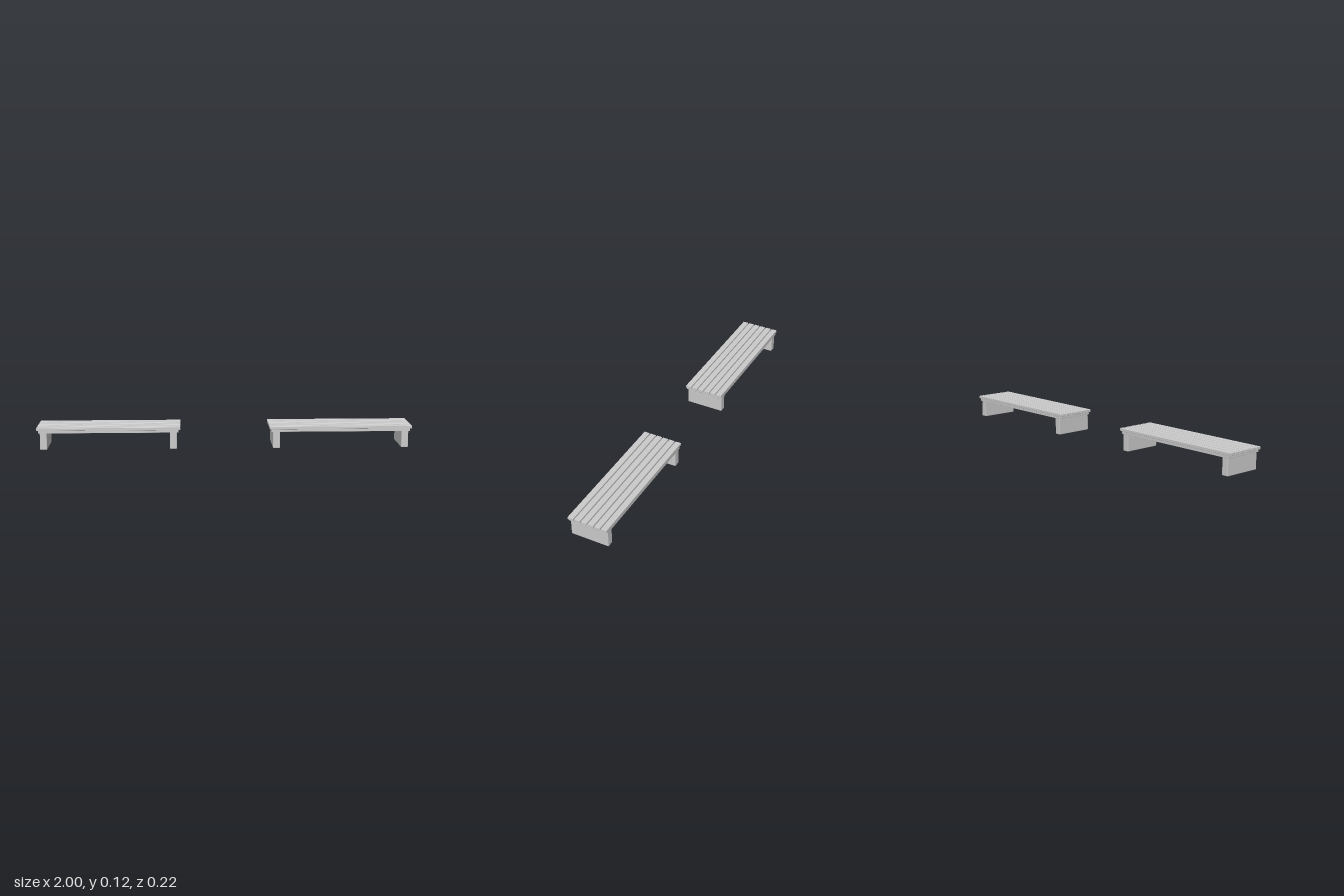
import * as THREE from 'three';
import { RoundedBoxGeometry } from 'three/addons/geometries/RoundedBoxGeometry.js';

const material = new THREE.MeshStandardMaterial({ color: 0xcccccc });

// Softly rounded block spanning y0..y1, centred on x and z
function block(name, width, y0, y1, depth, x, z, radius) {
  const geometry = new RoundedBoxGeometry(width, y1 - y0, depth, 2, radius);
  const mesh = new THREE.Mesh(geometry, material);
  mesh.name = name;
  mesh.position.set(x, (y0 + y1) / 2, z);
  return mesh;
}

function createBench(name) {
  const bench = new THREE.Group();
  bench.name = name;

  // Slab legs, tucked slightly into the seat base
  for (const side of [-1, 1]) {
    bench.add(block(side < 0 ? 'rightLeg' : 'leftLeg', 0.037, 0, 0.095, 0.207, side * 0.344, 0, 0.003));
  }

  // Solid board under the slats
  bench.add(block('seatBase', 0.742, 0.089, 0.104, 0.212, 0, 0, 0.001));

  // Six seat slats with narrow gaps
  for (let i = 0; i < 6; i++) {
    bench.add(block(`seatSlat${i + 1}`, 0.762, 0.103, 0.118, 0.031, 0, (i - 2.5) * 0.037, 0.0015));
  }
  return bench;
}

export function createModel() {
  const model = new THREE.Group();
  model.name = 'benchPair';
  for (const side of [-1, 1]) {
    const bench = createBench(side < 0 ? 'rightBench' : 'leftBench');
    bench.position.x = side * 0.619;
    model.add(bench);
  }
  return model;
}
